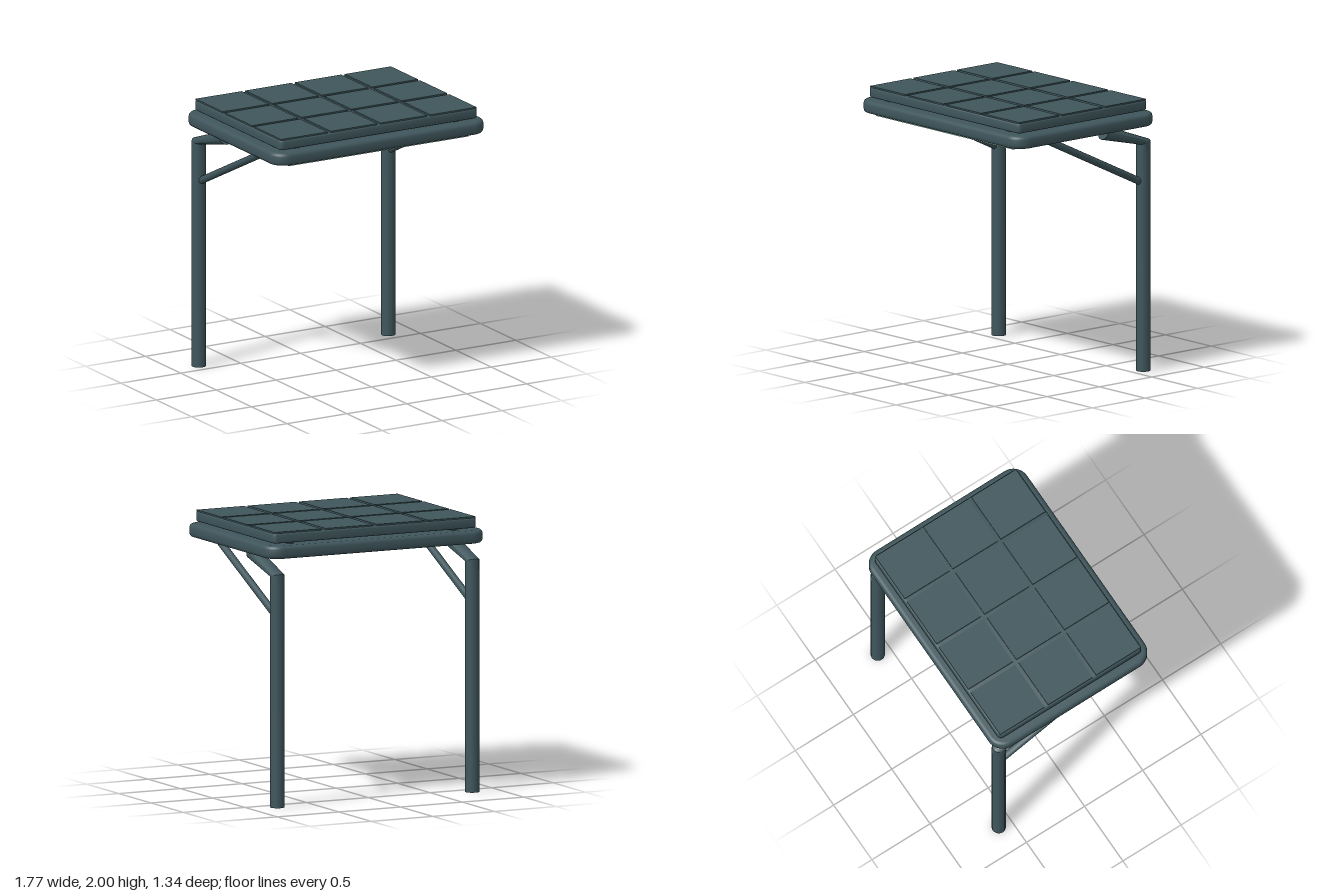
import * as THREE from 'three';
import { toCreasedNormals } from 'three/addons/utils/BufferGeometryUtils.js';

const metal = new THREE.MeshStandardMaterial({ color: 0x3f565c });
metal.name = 'dark slate';
const light = new THREE.MeshStandardMaterial({ color: 0x8fbcaa });
light.name = 'pale green';

function add(parent, name, geometry, material = metal, x = 0, y = 0, z = 0) {
  const mesh = new THREE.Mesh(geometry, material);
  mesh.name = name;
  mesh.position.set(x, y, z);
  parent.add(mesh);
  return mesh;
}

// Flat slab with rounded corners and softened edges, standing on y = 0
function slab(w, d, h, radius, bevel) {
  const x = w / 2 - bevel, y = d / 2 - bevel, r = radius - bevel;
  const s = new THREE.Shape();
  s.absarc(x - r, y - r, r, 0, Math.PI / 2);
  s.absarc(-x + r, y - r, r, Math.PI / 2, Math.PI);
  s.absarc(-x + r, -y + r, r, Math.PI, Math.PI * 1.5);
  s.absarc(x - r, -y + r, r, Math.PI * 1.5, Math.PI * 2);
  s.closePath();
  const g = new THREE.ExtrudeGeometry(s, {
    depth: h - 2 * bevel, bevelThickness: bevel, bevelSize: bevel, bevelSegments: 3, curveSegments: 8,
  });
  g.translate(0, 0, bevel);
  g.rotateX(-Math.PI / 2);
  return toCreasedNormals(g, 0.6);
}

// Round bar through [z, y, tilt] rings, with capped ends
function bar(rings, radius, sides = 16) {
  const pos = [], index = [];
  for (const [z, y, tilt] of rings) {
    for (let i = 0; i < sides; i++) {
      const a = (i / sides) * Math.PI * 2;
      const f = radius * Math.cos(a);
      pos.push(radius * Math.sin(a), y - f * Math.sin(tilt), z + f * Math.cos(tilt));
    }
  }
  const last = (rings.length - 1) * sides;
  for (let k = 0; k < last; k += sides) {
    for (let i = 0; i < sides; i++) {
      const j = (i + 1) % sides;
      index.push(k + i, k + j, k + sides + i, k + j, k + sides + j, k + sides + i);
    }
  }
  for (let i = 1; i < sides - 1; i++) {
    index.push(0, i + 1, i, last, last + i, last + i + 1);
  }
  const g = new THREE.BufferGeometry();
  g.setAttribute('position', new THREE.Float32BufferAttribute(pos, 3));
  g.setIndex(index);
  return toCreasedNormals(g, 0.6);
}

export function createModel() {
  const model = new THREE.Group();
  model.name = 'canopy';

  // Roof tray and the raised panel above it
  add(model, 'roofTray', slab(1.77, 1.34, 0.095, 0.12, 0.027), metal, 0, 1.81, 0);
  add(model, 'panelBase', slab(1.65, 1.23, 0.072, 0.035, 0.012), metal, 0, 1.918, 0);

  // Grid of panel cells, 4 by 3
  const cells = new THREE.Group();
  cells.name = 'panelCells';
  model.add(cells);
  const gap = 0.03, w = (1.63 - 3 * gap) / 4, d = (1.21 - 2 * gap) / 3;
  const cell = new THREE.BoxGeometry(w, 0.012, d);
  for (let c = 0; c < 4; c++) {
    for (let r = 0; r < 3; r++) {
      add(cells, 'panelCell', cell, metal, (c - 1.5) * (w + gap), 1.994, (r - 1) * (d + gap));
    }
  }

  // Light strip under the front edge
  add(model, 'lightStrip', new THREE.BoxGeometry(1.5, 0.025, 0.036), light, 0, 1.803, 0.587);

  for (const side of [-1, 1]) {
    // Mounting rails through the tray
    add(model, 'mountingRail', new THREE.BoxGeometry(0.05, 0.122, 1.14), metal, side * 0.665, 1.862, 0);

    // Bent post and its brace
    const support = new THREE.Group();
    support.name = side > 0 ? 'leftSupport' : 'rightSupport';
    support.position.x = side * 0.79;
    model.add(support);
    add(support, 'post', bar([[-0.6, 0, 0], [-0.6, 1.6, 0], [-0.6, 1.684, 0.28], [-0.22, 1.802, 1.17]], 0.052));
    add(support, 'brace', bar([[-0.6, 1.379, 1.12], [0.35, 1.84, 1.12]], 0.027, 12));
  }
  return model;
}
